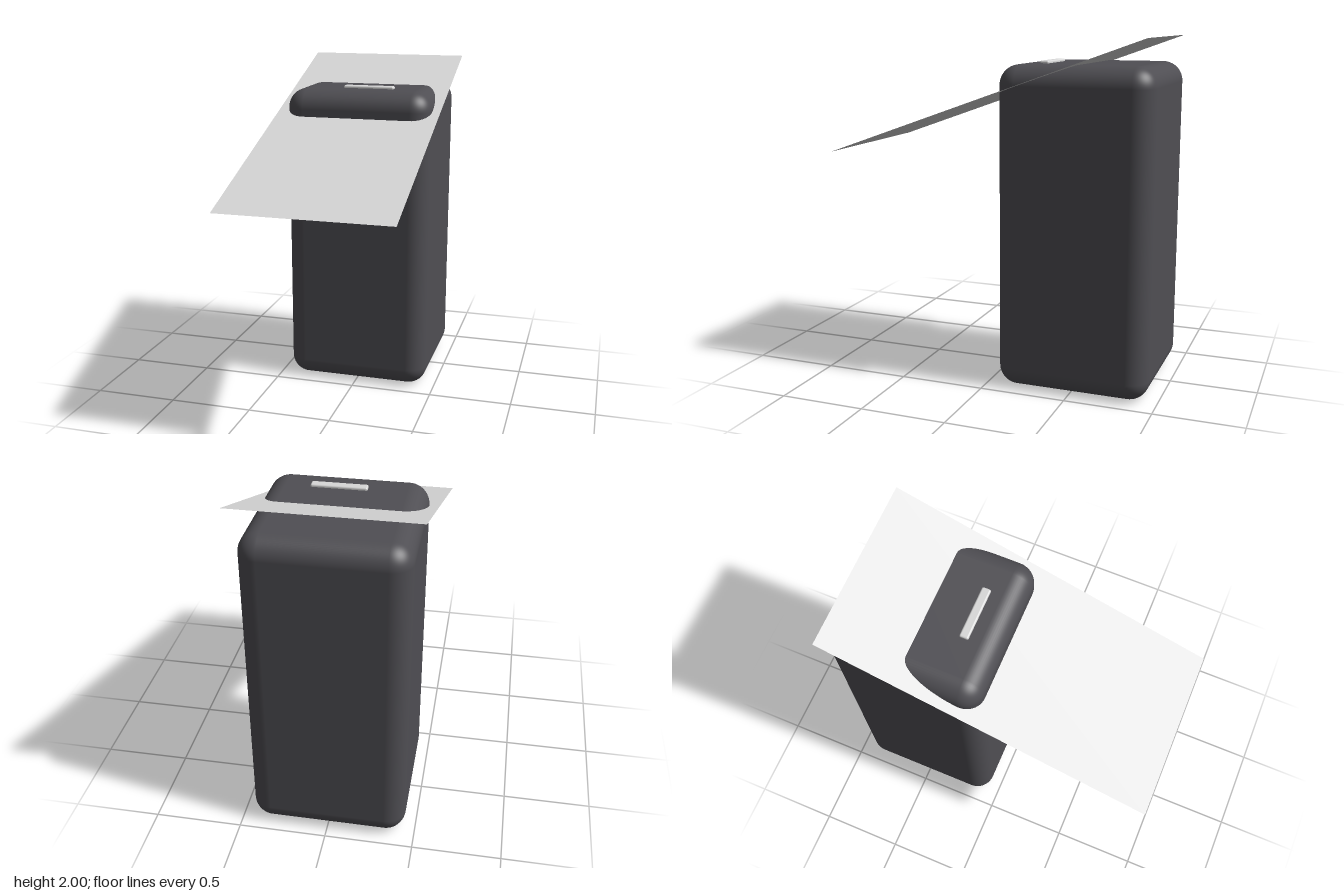
import * as THREE from 'three';
import { RoundedBoxGeometry } from 'three/addons/geometries/RoundedBoxGeometry.js';

export function createModel() {
  const model = new THREE.Group();
  const charcoal = new THREE.MeshStandardMaterial({ color: 0x4f4e53 });
  charcoal.name = 'charcoal';
  const paleGrey = new THREE.MeshStandardMaterial({ color: 0xd8d8d8, side: THREE.DoubleSide });
  paleGrey.name = 'paleGrey';

  const add = (name, geometry, material, x, y, z) => {
    const mesh = new THREE.Mesh(geometry, material);
    mesh.name = name;
    mesh.position.set(x, y, z);
    model.add(mesh);
    return mesh;
  };

  // Tall rounded body, set toward the back
  add('body', new RoundedBoxGeometry(0.885, 1.85, 0.885, 8, 0.115), charcoal, 0, 0.925, -0.503);

  // Slim raised bar on the top
  add('topBar', new RoundedBoxGeometry(0.31, 0.026, 0.052, 3, 0.01), paleGrey, 0.035, 1.852, -0.267);

  // Flat sheet through the body, sloping down to the front
  const back = { y: 2, z: -0.92 };
  const front = { y: 1.33, z: 0.945 };
  const rise = back.y - front.y;
  const run = front.z - back.z;
  const sheet = add('slopingSheet', new THREE.PlaneGeometry(0.99, Math.hypot(rise, run)), paleGrey,
    -0.003, (back.y + front.y) / 2, (back.z + front.z) / 2);
  sheet.rotation.x = -Math.PI / 2 + Math.atan2(rise, run);

  return model;
}
